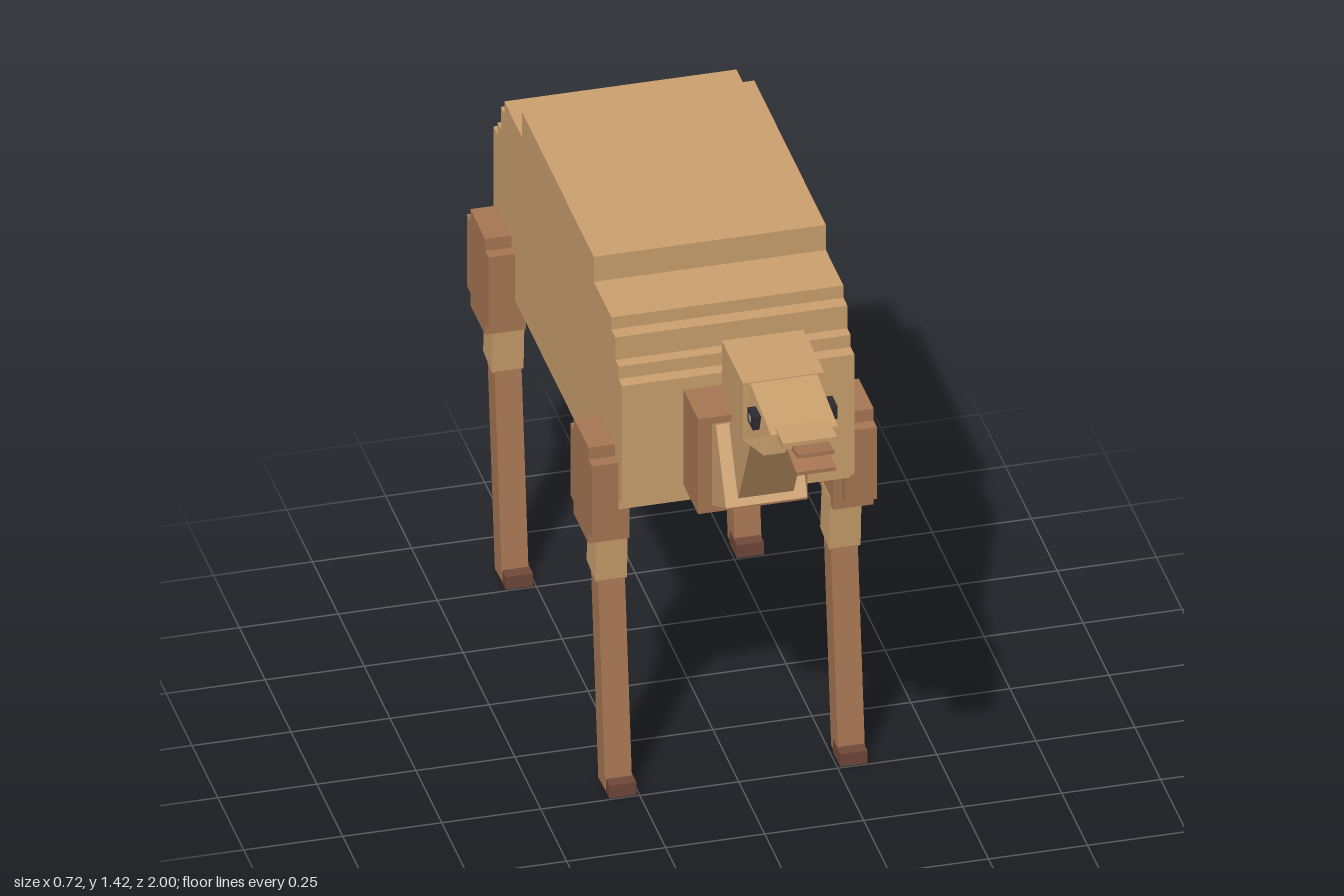
import * as THREE from 'three';

const material = (name, color) => {
  const m = new THREE.MeshStandardMaterial({ color });
  m.name = name;
  return m;
};

export function createModel() {
  const tan = material('tan', 0xcca16e);
  const brown = material('brown', 0xa87754);
  const hoofBrown = material('dark brown', 0x70483a);
  const eyeBlack = material('eye black', 0x2b2b31);
  const eyeGrey = material('eye grey', 0x9c9a98);

  const model = new THREE.Group();
  model.name = 'animal';

  const add = (parent, name, geometry, mat) => {
    const mesh = new THREE.Mesh(geometry, mat);
    mesh.name = name;
    parent.add(mesh);
    return mesh;
  };

  // Side profile given as [z, y] points, filled between x0 and x1
  const slab = (points, x0, x1) => {
    const shape = new THREE.Shape(points.map(([z, y]) => new THREE.Vector2(z, y)));
    return new THREE.ExtrudeGeometry(shape, { depth: x1 - x0, bevelEnabled: false })
      .rotateY(-Math.PI / 2).translate(x1, 0, 0);
  };

  // Box from its two limits along each axis
  const box = (x0, x1, y0, y1, z0, z1) =>
    new THREE.BoxGeometry(x1 - x0, y1 - y0, z1 - z0)
      .translate((x0 + x1) / 2, (y0 + y1) / 2, (z0 + z1) / 2);

  // Stepped body
  add(model, 'body', slab([
    [0.21, 0.805], [0.21, 0.835], [0.245, 0.835], [0.245, 1.18], [0.21, 1.18], [0.21, 1.215],
    [0.178, 1.215], [0.178, 1.28], [0.14, 1.28], [0.14, 1.315], [-0.03, 1.315], [-0.03, 1.387],
    [-0.722, 1.387], [-0.722, 1.315], [-0.895, 1.315], [-0.895, 1.28], [-0.927, 1.28],
    [-0.927, 1.215], [-0.96, 1.215], [-0.96, 1.18], [-1, 1.18], [-1, 0.835],
    [-0.96, 0.835], [-0.96, 0.805],
  ], -0.293, 0.293), tan);

  // Chest and neck
  add(model, 'chest', box(-0.138, 0.138, 0.872, 1.145, 0.2, 0.385), brown);
  add(model, 'neckBase',
    slab([[0.33, 0.863], [0.52, 0.964], [0.423, 1.146], [0.233, 1.045]], -0.103, 0.103), tan);
  add(model, 'neck',
    slab([[0.512, 0.983], [0.665, 1.27], [0.53, 1.31], [0.42, 1.13]], -0.07, 0.07), tan);

  // Head
  const head = new THREE.Group();
  head.name = 'head';
  model.add(head);
  add(head, 'skull',
    slab([[0.48, 1.287], [0.685, 1.258], [0.685, 1.422], [0.48, 1.422]], -0.103, 0.103), tan);

  // Snout narrows towards its upper surface
  const snout = slab([[0.68, 1.258], [0.885, 1.335], [0.885, 1.39], [0.68, 1.42]], -0.103, 0.103);
  const pos = snout.attributes.position;
  for (let i = 0; i < pos.count; i++) {
    if (pos.getY(i) > 1.36) pos.setX(i, pos.getX(i) * 0.82);
  }
  snout.computeVertexNormals();
  add(head, 'snout', snout, tan);

  // Nose plate and open lips
  add(head, 'nose', box(-0.068, 0.068, 1.378, 1.396, 0.86, 0.94), tan);
  add(head, 'upperLip',
    slab([[0.87, 1.36], [1, 1.386], [1, 1.396], [0.87, 1.374]], -0.046, 0.046), brown);
  add(head, 'lowerLip',
    slab([[0.87, 1.35], [1, 1.337], [1, 1.347], [0.87, 1.365]], -0.05, 0.05), brown);

  for (const side of [-1, 1]) {
    const eye = add(head, 'eye', new THREE.BoxGeometry(0.03, 0.037, 0.05), eyeBlack);
    eye.position.set(side * 0.092, 1.372, 0.77);
    const glint = add(head, 'eyeGlint', new THREE.BoxGeometry(0.004, 0.016, 0.016), eyeGrey);
    glint.position.set(side * 0.107, 1.374, 0.768);
  }

  // Legs: the same leg on both sides, front and back
  for (const side of [-1, 1]) {
    for (const [name, z] of [['frontLeg', 0], ['backLeg', -1]]) {
      const leg = new THREE.Group();
      leg.name = (side > 0 ? 'left ' : 'right ') + name;
      leg.position.z = z;
      model.add(leg);
      const span = (a, b) => (side > 0 ? [a, b] : [-b, -a]);

      add(leg, 'shoulder', box(...span(0.28, 0.36), 0.732, 0.938, 0, 0.208), brown);
      add(leg, 'shoulderCore', box(...span(0.257, 0.36), 0.697, 0.972, 0.032, 0.176), brown);
      add(leg, 'thigh',
        slab([[0.145, 0.565], [0.06, 0.578], [0.076, 0.72], [0.155, 0.72]], ...span(0.255, 0.335)), tan);
      add(leg, 'shin',
        slab([[0.215, 0.008], [0.147, 0.002], [0.072, 0.6], [0.14, 0.608]], ...span(0.26, 0.328)), brown);
      add(leg, 'foot', box(...span(0.257, 0.326), 0, 0.036, 0.175, 0.245), hoofBrown);
    }
  }
  return model;
}
